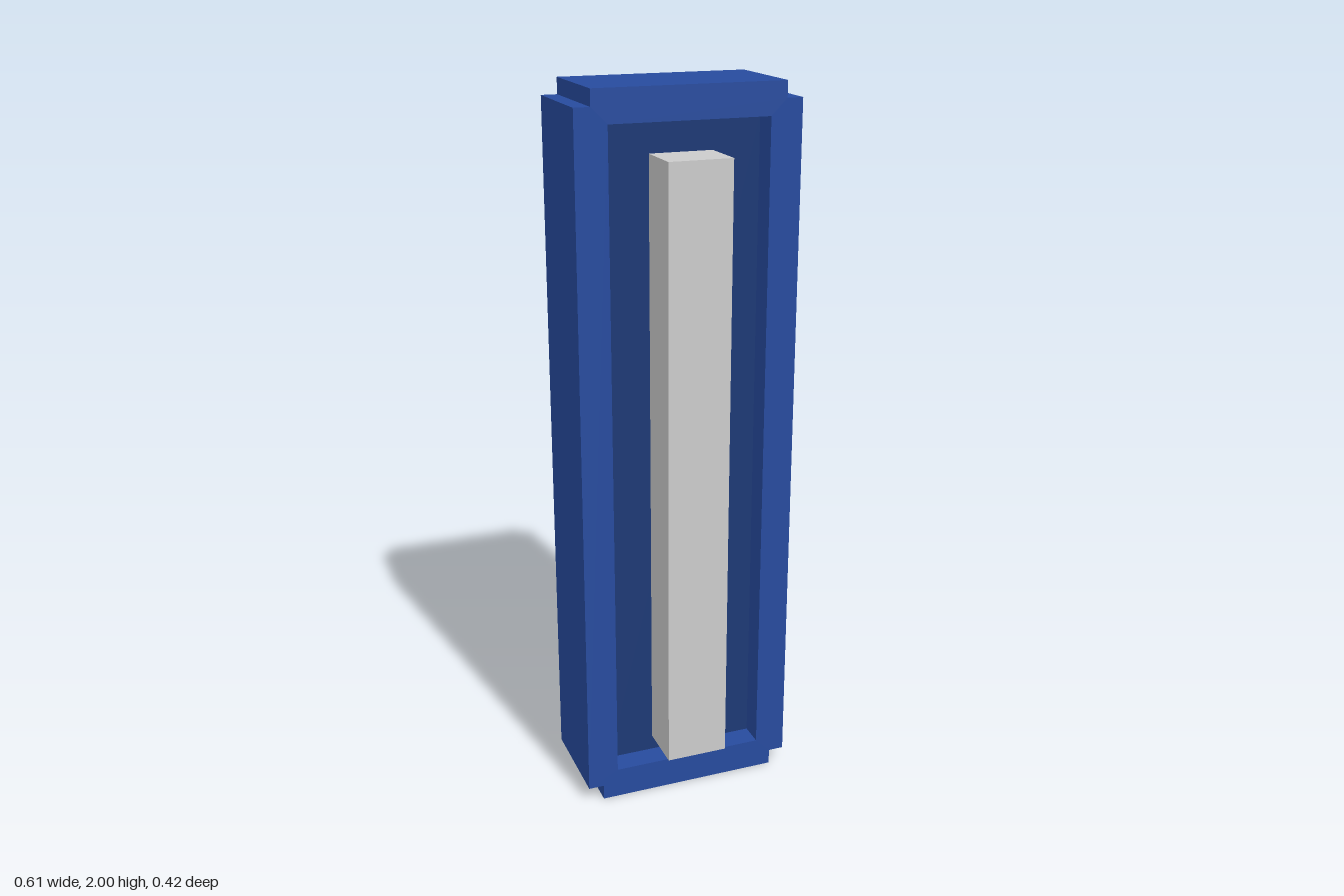
import * as THREE from 'three';

const U = 2 / 46; // the whole design sits on a 46-step grid
const H = 46 * U;

const blue = new THREE.MeshStandardMaterial({ color: 0x274b9e });
const darkBlue = new THREE.MeshStandardMaterial({ color: 0x1d3975 });
const grey = new THREE.MeshStandardMaterial({ color: 0xcccccc });

function box(name, w, h, d, material) {
  const mesh = new THREE.Mesh(new THREE.BoxGeometry(w, h, d), material);
  mesh.name = name;
  mesh.position.y = H / 2;
  return mesh;
}

// Frame: rectangle with stepped corners and a rectangular opening
function frame(depth) {
  const x = 7 * U, n = U;
  const shape = new THREE.Shape([
    [-x + n, 0], [x - n, 0], [x - n, n], [x, n],
    [x, H - n], [x - n, H - n], [x - n, H], [-x + n, H],
    [-x + n, H - n], [-x, H - n], [-x, n], [-x + n, n],
  ].map(([px, py]) => new THREE.Vector2(px, py)));
  const ox = 5 * U, oy = 2 * U;
  shape.holes.push(new THREE.Path([
    [-ox, oy], [-ox, H - oy], [ox, H - oy], [ox, oy],
  ].map(([px, py]) => new THREE.Vector2(px, py))));
  const geometry = new THREE.ExtrudeGeometry(shape, { depth, bevelEnabled: false });
  geometry.translate(0, 0, -depth / 2);
  const mesh = new THREE.Mesh(geometry, blue);
  mesh.name = 'frame';
  return mesh;
}

export function createModel() {
  const group = new THREE.Group();
  group.name = 'framedPanel';
  group.add(frame(6.4 * U));

  // Panel recessed equally on front and back
  group.add(box('recessedPanel', 10 * U, H - 4 * U, 3.2 * U, darkBlue));

  // Upright bar passing through the panel
  group.add(box('centreBar', 4 * U, H - 7 * U, 9.6 * U, grey));
  group.getObjectByName('centreBar').position.y = 22.5 * U;

  return group;
}
